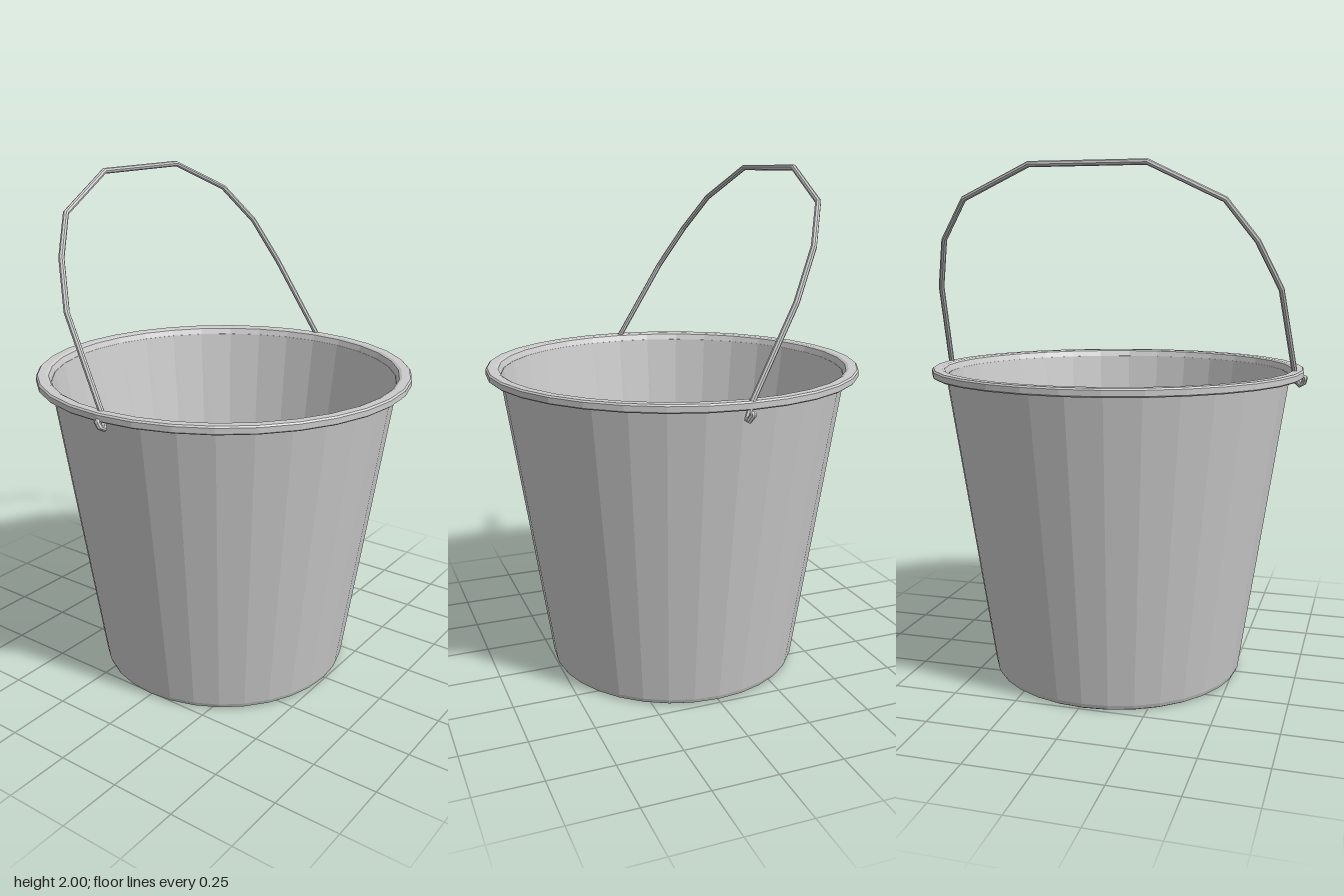
import * as THREE from 'three';

const SIDES = 32;
const CENTRE_X = -0.014;

// Tube path that passes exactly through its corner points, one ring per point
class Polyline extends THREE.Curve {
  constructor(points) {
    super();
    this.points = points.map((p) => new THREE.Vector3(...p));
  }
  getPoint(t, target = new THREE.Vector3()) {
    const n = this.points.length - 1;
    const i = Math.min(Math.floor(t * n + 1e-6), n - 1);
    return target.lerpVectors(this.points[i], this.points[i + 1], t * n - i);
  }
  getPointAt(t, target) {
    return this.getPoint(t, target);
  }
  getTangentAt(t, target = new THREE.Vector3()) {
    const p = this.points, n = p.length - 1, i = Math.round(t * n);
    target.set(0, 0, 0);
    if (i > 0) target.add(p[i].clone().sub(p[i - 1]).normalize());
    if (i < n) target.add(p[i + 1].clone().sub(p[i]).normalize());
    return target.normalize();
  }
}

export function createModel() {
  const group = new THREE.Group();
  const material = new THREE.MeshStandardMaterial({
    color: 0xcccccc, flatShading: true, side: THREE.DoubleSide,
  });

  const add = (name, geometry) => {
    const mesh = new THREE.Mesh(geometry, material);
    mesh.name = name;
    group.add(mesh);
    return mesh;
  };
  const lathe = (name, profile) => {
    const points = profile.map(([r, y]) => new THREE.Vector2(r, y));
    add(name, new THREE.LatheGeometry(points, SIDES)).position.x = CENTRE_X;
  };

  // Tapered wall with bevelled foot, closed underneath and with an inner floor
  lathe('bucketBody', [
    [0, 0], [0.488, 0], [0.498, 0.006], [0.504, 0.022], [0.682, 1.21],
    [0.676, 1.21], [0.494, 0.022], [0.484, 0.014], [0, 0.014],
  ]);

  // Flat projecting lip
  lathe('rim', [
    [0.676, 1.206], [0.729, 1.206], [0.735, 1.211], [0.735, 1.232],
    [0.729, 1.238], [0.697, 1.238], [0.687, 1.233], [0.676, 1.206],
  ]);

  // Bent wire bail, leaning backwards, with a hook at each end
  const wire = [
    [-0.752, 1.208, 0.004], [-0.748, 1.19, 0.012], [-0.732, 1.18, 0.014],
    [-0.722, 1.195, 0.004], [-0.714, 1.235, -0.012],
    [-0.677, 1.55, -0.19], [-0.6, 1.72, -0.28], [-0.495, 1.86, -0.352],
    [-0.23, 1.988, -0.403], [0.205, 1.99, -0.405], [0.477, 1.876, -0.362],
    [0.596, 1.73, -0.285], [0.657, 1.55, -0.192],
    [0.706, 1.235, -0.012], [0.712, 1.2, 0.002], [0.722, 1.178, 0.014],
    [0.738, 1.178, 0.014], [0.748, 1.2, 0.004],
  ];
  add('handle', new THREE.TubeGeometry(new Polyline(wire), wire.length - 1, 0.011, 8, false));

  // Rounded tips closing the wire ends
  for (const [name, p] of [['leftHookTip', wire[wire.length - 1]], ['rightHookTip', wire[0]]]) {
    add(name, new THREE.SphereGeometry(0.012, 8, 6)).position.set(...p);
  }

  return group;
}
